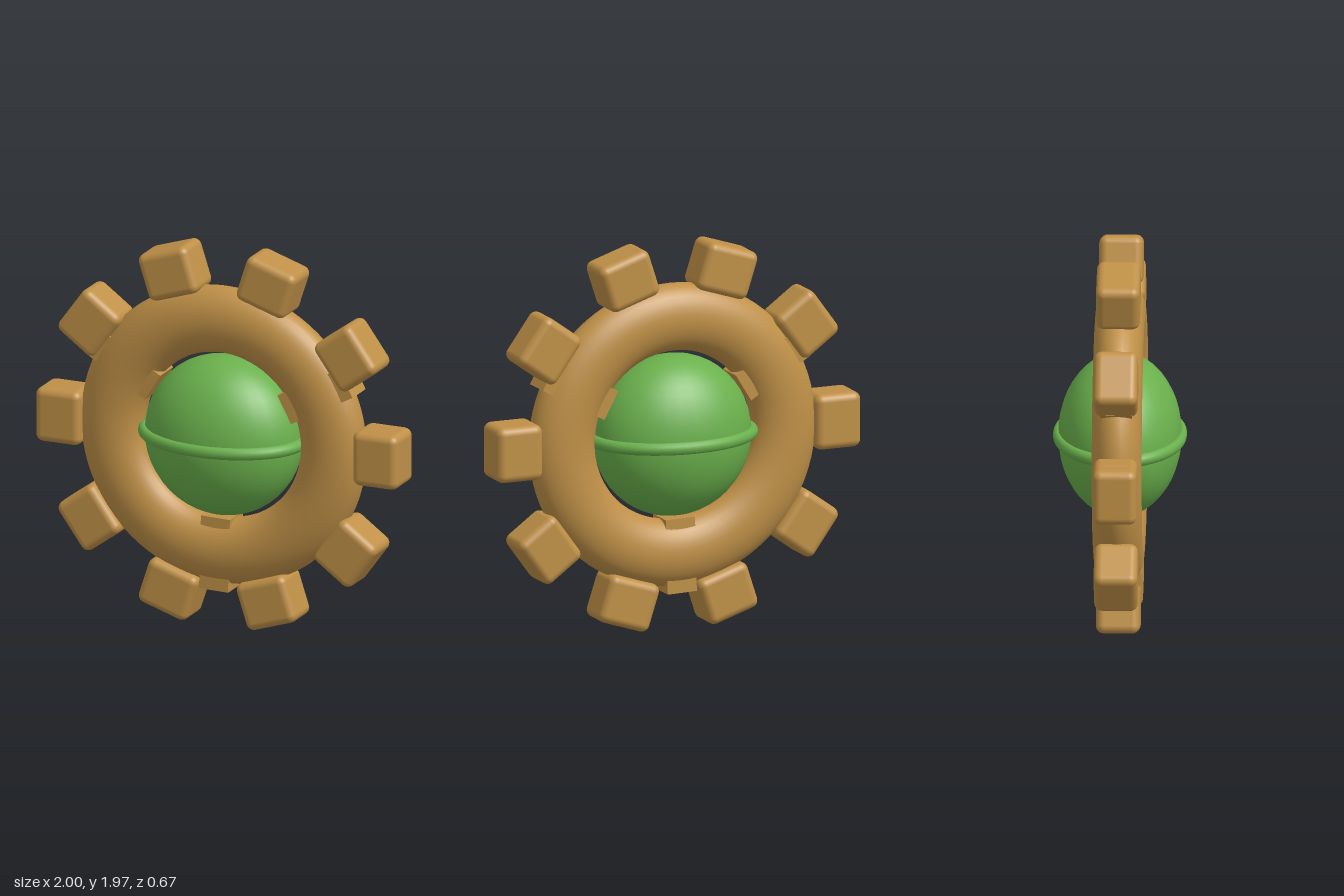
import * as THREE from 'three';
import { RoundedBoxGeometry } from 'three/addons/geometries/RoundedBoxGeometry.js';

export function createModel() {
  const model = new THREE.Group();
  model.name = 'gearWithOrb';

  const wood = new THREE.MeshStandardMaterial({ color: 0xbf9047 });
  wood.name = 'wood brown';
  const green = new THREE.MeshStandardMaterial({ color: 0x6ab04c });
  green.name = 'leaf green';

  const gear = new THREE.Group();
  gear.name = 'gear';
  const orb = new THREE.Group();
  orb.name = 'orb';
  gear.position.y = orb.position.y = 0.985;
  model.add(gear, orb);

  const add = (parent, name, geometry, material) => {
    const mesh = new THREE.Mesh(geometry, material);
    mesh.name = name;
    parent.add(mesh);
    return mesh;
  };

  // Places a mesh at an angle around the gear, its x axis pointing outward
  const placeRadially = (mesh, radius, angle) => {
    mesh.position.set(radius * Math.cos(angle), radius * Math.sin(angle), 0);
    mesh.rotation.z = angle;
  };

  // Rim: a torus flattened front to back
  const rim = new THREE.TorusGeometry(0.607, 0.173, 32, 80);
  rim.scale(1, 1, 0.725);
  add(gear, 'rim', rim, wood);

  // Ten rounded teeth
  const toothGeometry = new RoundedBoxGeometry(0.25, 0.285, 0.22, 3, 0.04);
  for (let i = 0; i < 10; i++) {
    placeRadially(add(gear, 'tooth', toothGeometry, wood), 0.875, (i * Math.PI) / 5);
  }

  // Three pegs driven through the rim
  const pegGeometry = new THREE.BoxGeometry(0.385, 0.16, 0.16);
  for (let i = 0; i < 3; i++) {
    const angle = THREE.MathUtils.degToRad(28.5 + i * 120);
    placeRadially(add(gear, 'peg', pegGeometry, wood), 0.6125, angle);
  }

  // Flattened orb with a raised band around its equator
  orb.scale.z = 0.75;
  add(orb, 'orbBody', new THREE.SphereGeometry(0.415, 32, 24), green);
  const band = new THREE.TorusGeometry(0.418, 0.032, 12, 48);
  band.rotateX(Math.PI / 2);
  add(orb, 'orbBand', band, green);

  return model;
}
